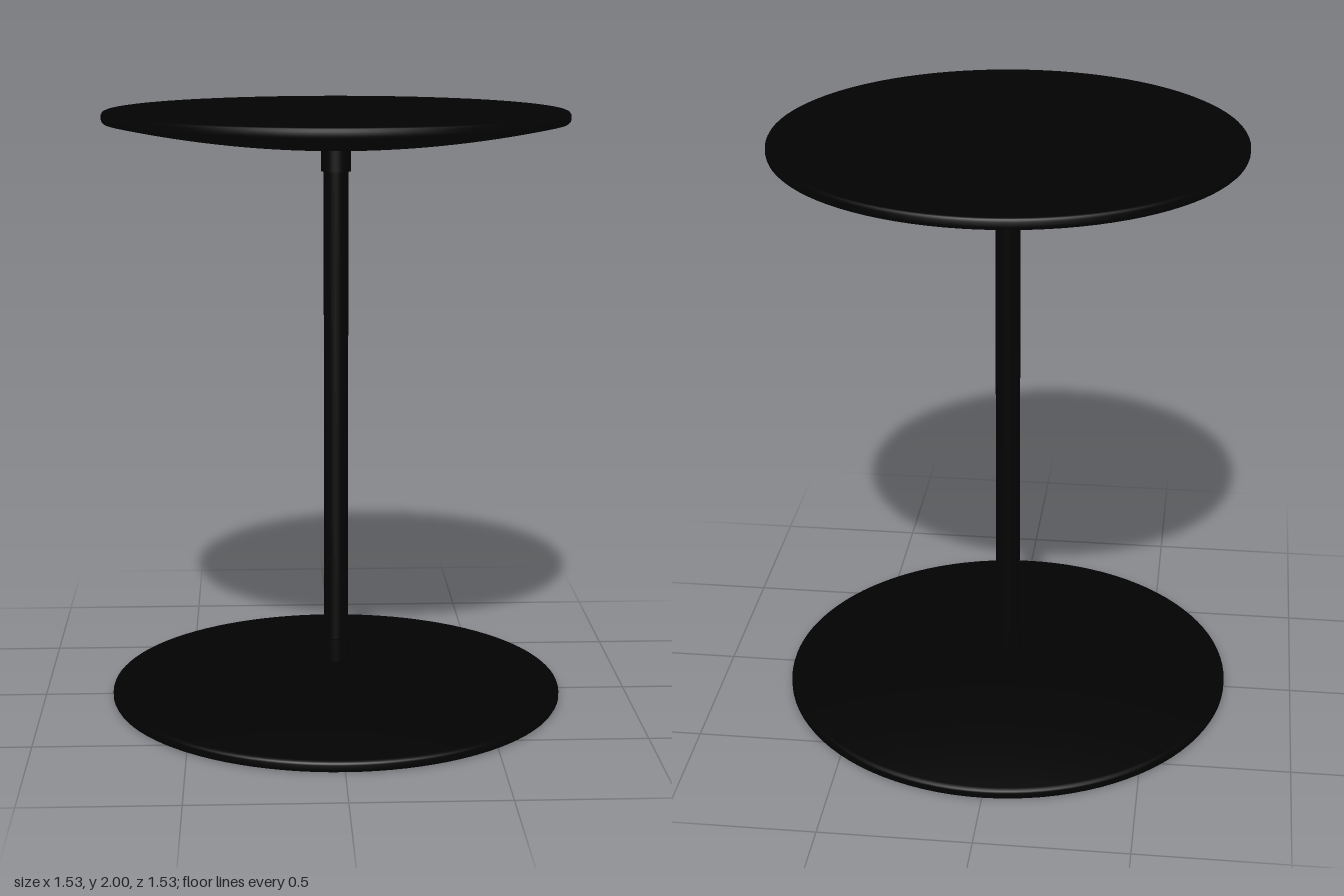
import * as THREE from 'three';

const SEGMENTS = 96;
const HEIGHT = 2;

export function createModel() {
  const model = new THREE.Group();
  model.name = 'pedestalTable';
  const black = new THREE.MeshStandardMaterial({ color: 0x020202 });
  black.name = 'matte black';

  const add = (parent, name, geometry, y) => {
    const mesh = new THREE.Mesh(geometry, black);
    mesh.name = name;
    mesh.position.y = y;
    parent.add(mesh);
  };

  // Saucer: hollowed underside, rounded rim, gently curved outer face
  const profile = [];
  const arc = (radius, centreY, rimY, outward) => {
    for (let i = 0; i <= 20; i++) {
      const t = outward ? i / 20 : 1 - i / 20;
      profile.push(new THREE.Vector2(radius * t, centreY + (rimY - centreY) * t * t));
    }
  };
  arc(0.75, 0.06, 0, true);
  for (const [x, y] of [[0.757, 0.001], [0.763, 0.004], [0.767, 0.011], [0.767, 0.026], [0.765, 0.032], [0.761, 0.036]]) {
    profile.push(new THREE.Vector2(x, y));
  }
  arc(0.753, 0.122, 0.038, false);
  const saucer = new THREE.LatheGeometry(profile, SEGMENTS);
  const collar = new THREE.CylinderGeometry(0.049, 0.049, 0.1, 48);

  // The base and the tabletop are the same saucer and collar, one upside down
  const base = new THREE.Group();
  base.name = 'base';
  add(base, 'baseSaucer', saucer, 0);
  add(base, 'baseCollar', collar, 0.15);

  const top = new THREE.Group();
  top.name = 'tabletop';
  add(top, 'topSaucer', saucer, 0);
  add(top, 'topCollar', collar, 0.15);
  top.rotation.x = Math.PI;
  top.position.y = HEIGHT;

  model.add(base, top);

  // Slim central column
  add(model, 'column', new THREE.CylinderGeometry(0.041, 0.041, 1.8, 48), HEIGHT / 2);
  return model;
}
